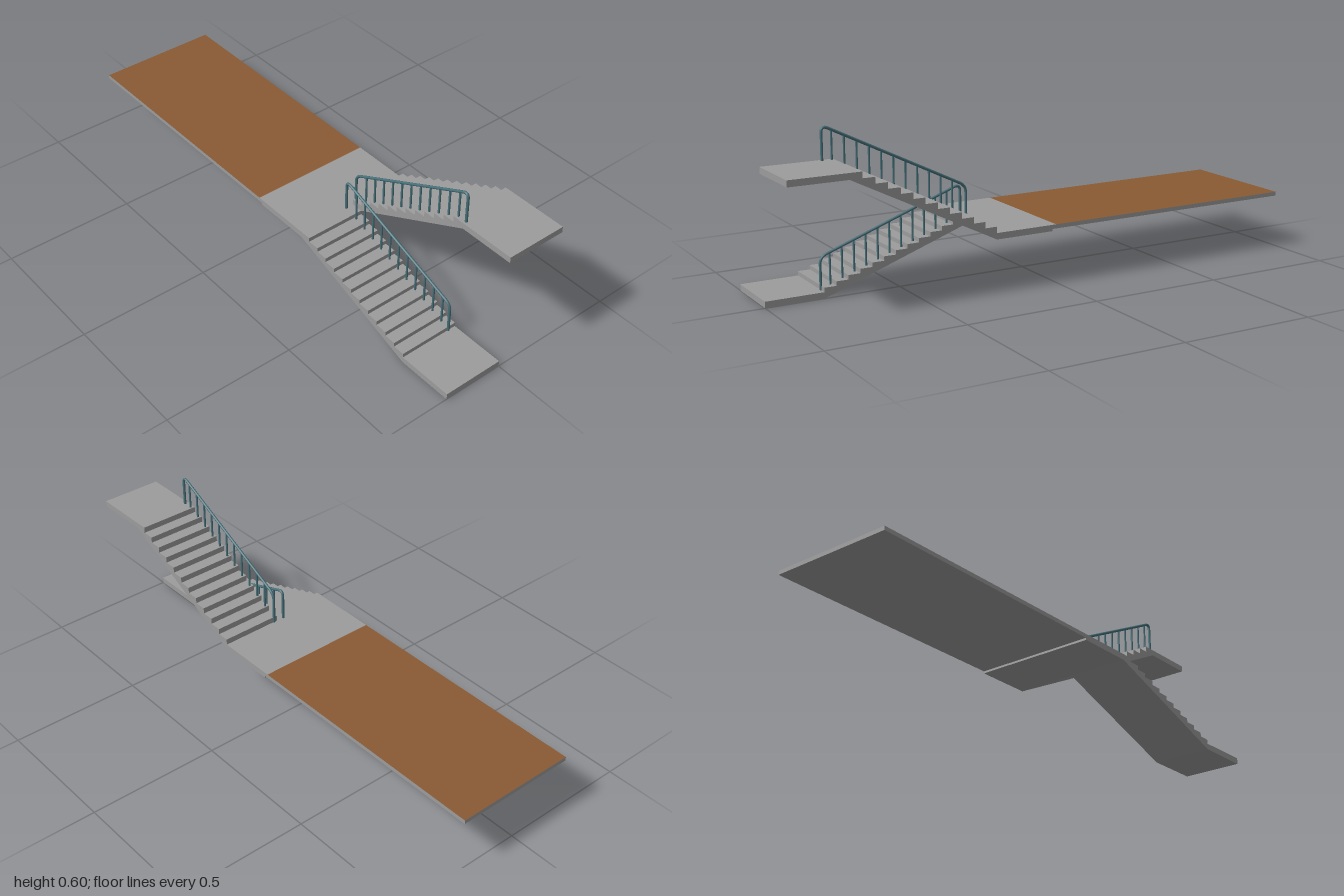
import * as THREE from 'three';

const concrete = new THREE.MeshStandardMaterial({ color: 0x9c9c9c });
concrete.name = 'concrete grey';
const floorBrown = new THREE.MeshStandardMaterial({ color: 0x8a5a33 });
floorBrown.name = 'floor brown';
const railTeal = new THREE.MeshStandardMaterial({ color: 0x47717a });
railTeal.name = 'rail teal';

const STEPS = 12, RUN = 0.5455 / STEPS, FOOT = 0.24, HEAD = 0.785;
const MID = 0.213, THICK = 0.023, TOP = 0.485, HALF = 0.238;

// Extrudes a side outline of [z, y] points between two x positions
function sideExtrude(name, points, x0, x1) {
  const shape = new THREE.Shape(points.map(([z, y]) => new THREE.Vector2(z, y)));
  const geo = new THREE.ExtrudeGeometry(shape, { depth: x1 - x0, bevelEnabled: false });
  geo.rotateY(-Math.PI / 2);
  geo.translate(x1, 0, 0);
  const mesh = new THREE.Mesh(geo, concrete);
  mesh.name = name;
  return mesh;
}

// Outline of a flight with its end landing; startZ is the first riser, dir the climbing direction
function stepPoints(startZ, startY, rise, dir) {
  const pts = [];
  for (let i = 0; i < STEPS; i++) {
    const z = startZ + dir * i * RUN;
    pts.push([z, startY + i * rise], [z, startY + (i + 1) * rise]);
  }
  return pts;
}

// Handrail bent down into a post at both ends, with a baluster on each tread
function railing(name, x, headBase, headY, footBase, footY, treadY) {
  const group = new THREE.Group();
  group.name = name;
  const v = (z, y) => new THREE.Vector3(x, y, z);
  const r = 0.025;
  const slope = (headY - footY) / (HEAD - FOOT);
  const lineY = z => footY + (z - FOOT) * slope;
  const path = new THREE.CurvePath();
  const a = v(HEAD, headY - r), b = v(HEAD - r, lineY(HEAD - r));
  const c = v(FOOT + r, lineY(FOOT + r)), d = v(FOOT, footY - r);
  path.add(new THREE.LineCurve3(v(HEAD, headBase), a));
  path.add(new THREE.QuadraticBezierCurve3(a, v(HEAD, headY), b));
  path.add(new THREE.LineCurve3(b, c));
  path.add(new THREE.QuadraticBezierCurve3(c, v(FOOT, footY), d));
  path.add(new THREE.LineCurve3(d, v(FOOT, footBase)));
  const handrail = new THREE.Mesh(new THREE.TubeGeometry(path, 160, 0.0052, 8), railTeal);
  handrail.name = 'handrail';
  group.add(handrail);
  for (let i = 0; i < STEPS - 1; i++) {
    const z = FOOT + (i + 1.2) * RUN;
    const y0 = treadY(z), y1 = lineY(z);
    const post = new THREE.Mesh(new THREE.CylinderGeometry(0.004, 0.004, y1 - y0, 8), railTeal);
    post.name = 'baluster';
    post.position.set(x, (y0 + y1) / 2, z);
    group.add(post);
  }
  return group;
}

export function createModel() {
  const model = new THREE.Group();
  model.name = 'staircase';

  // Lower flight climbs from the front landing back to the middle landing
  const lowRise = (MID - THICK) / STEPS;
  model.add(sideExtrude('lowerFlight', [
    [1, 0], [1, THICK], ...stepPoints(HEAD, THICK, lowRise, -1),
    [FOOT, MID], [FOOT, MID - THICK], [HEAD, 0],
  ], -HALF, 0));

  // Upper flight climbs from the middle landing to the front
  const upRise = (TOP - MID) / STEPS;
  model.add(sideExtrude('upperFlight', [
    [FOOT, MID - THICK], ...stepPoints(FOOT, MID, upRise, 1),
    [1, TOP], [1, TOP - THICK], [HEAD, TOP - THICK],
  ], 0, HALF));

  // Middle landing, thinner where it meets the floor
  model.add(sideExtrude('middleLanding', [
    [FOOT, MID - THICK], [FOOT, MID], [0, MID], [0, MID - 0.015],
    [0.015, MID - 0.015], [0.015, MID - THICK],
  ], -HALF, HALF));

  // Long floor slab with a brown top face
  const slab = new THREE.Mesh(new THREE.BoxGeometry(HALF * 2, 0.015, 1),
    [concrete, concrete, floorBrown, concrete, concrete, concrete]);
  slab.name = 'floorSlab';
  slab.position.set(0, MID - 0.0075, -0.5);
  model.add(slab);

  // Railings along the inner edges
  model.add(railing('lowerRailing', -0.031, THICK, 0.14, MID, 0.335,
    z => Math.min(MID, THICK + Math.ceil((HEAD - z) / RUN) * lowRise)));
  model.add(railing('upperRailing', 0.013, TOP, 0.606, MID, 0.338,
    z => Math.min(TOP, MID + Math.ceil((z - FOOT) / RUN) * upRise)));

  return model;
}
